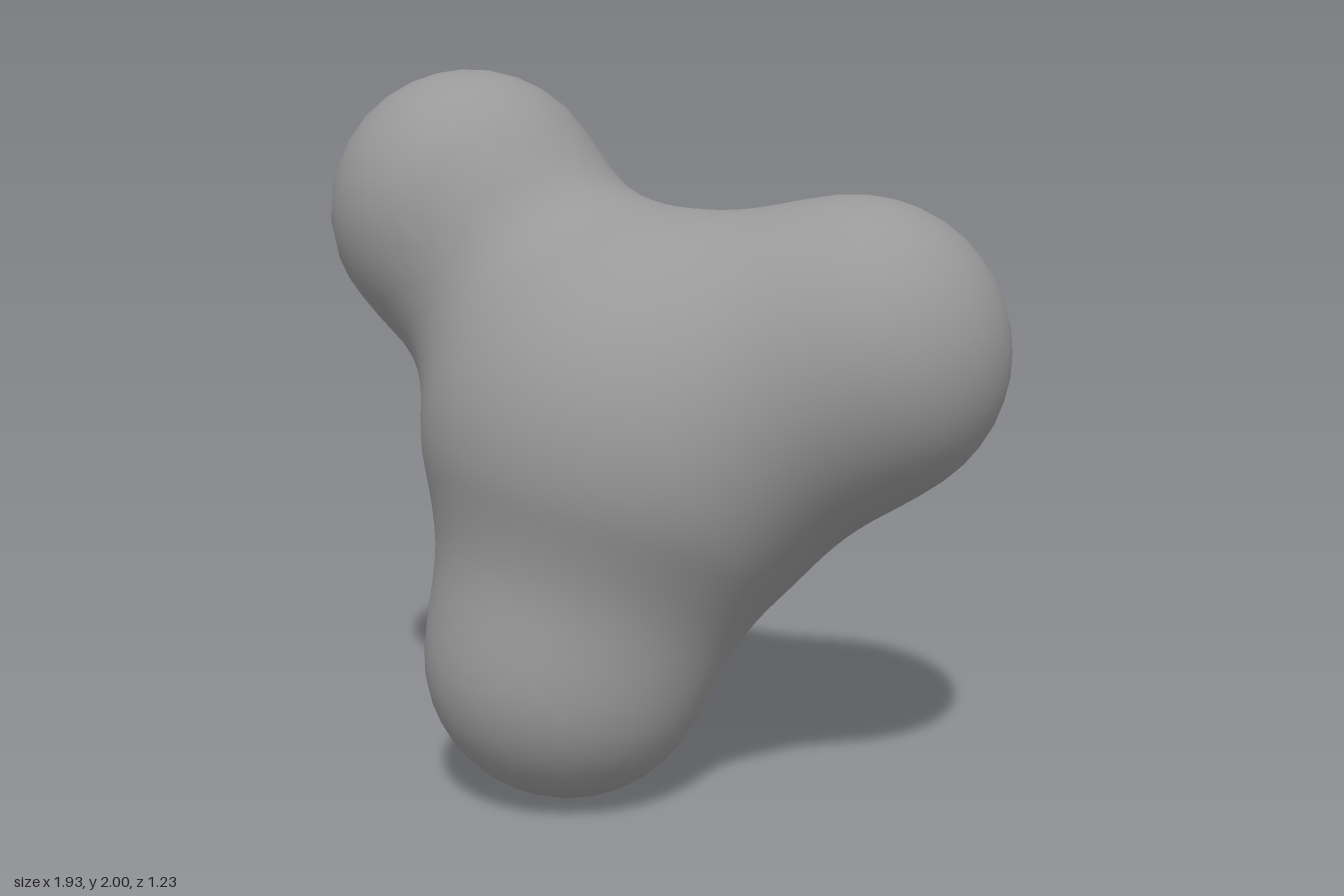
import * as THREE from 'three';

// Core ball and the three bulbs that grow out of it: centre and radius
const CORE = { c: new THREE.Vector3(-0.02, 1.025, 0), r: 0.612 };
const BULBS = [
  { c: new THREE.Vector3(-0.57, 1.6, 0.09), r: 0.4 },   // upper right bulb
  { c: new THREE.Vector3(0.55, 1.26, -0.19), r: 0.418 }, // upper left bulb
  { c: new THREE.Vector3(-0.11, 0.4, 0.215), r: 0.4 },  // foot bulb
];
const BLEND = 0.25;

// Smooth union of two distances, which makes the soft necks
function smoothMin(a, b) {
  const h = Math.max(BLEND - Math.abs(a - b), 0);
  return Math.min(a, b) - (h * h) / (4 * BLEND);
}

function distance(p) {
  let d = p.distanceTo(CORE.c) - CORE.r;
  for (const b of BULBS) d = smoothMin(d, p.distanceTo(b.c) - b.r);
  return d;
}

function normalAt(p) {
  const e = 0.002;
  const slope = (axis) => {
    const a = p.clone(), b = p.clone();
    a[axis] += e;
    b[axis] -= e;
    return distance(a) - distance(b);
  };
  return new THREE.Vector3(slope('x'), slope('y'), slope('z')).normalize();
}

export function createModel() {
  const group = new THREE.Group();
  group.name = 'blob';

  // Pull a sphere inward along its rays until it meets the blended surface
  const geometry = new THREE.IcosahedronGeometry(1, 16);
  const pos = geometry.attributes.position;
  const nor = geometry.attributes.normal;
  const dir = new THREE.Vector3(), p = new THREE.Vector3();
  for (let i = 0; i < pos.count; i++) {
    dir.fromBufferAttribute(pos, i).normalize();
    let t = 1.5;
    for (let step = 0; step < 80; step++) {
      const d = distance(p.copy(CORE.c).addScaledVector(dir, t));
      if (d < 0.0005) break;
      t -= d;
    }
    pos.setXYZ(i, p.x, p.y, p.z);
    const n = normalAt(p);
    nor.setXYZ(i, n.x, n.y, n.z);
  }

  const body = new THREE.Mesh(geometry, new THREE.MeshStandardMaterial({ color: 0x999999 }));
  body.name = 'blendedBody';
  group.add(body);
  return group;
}
